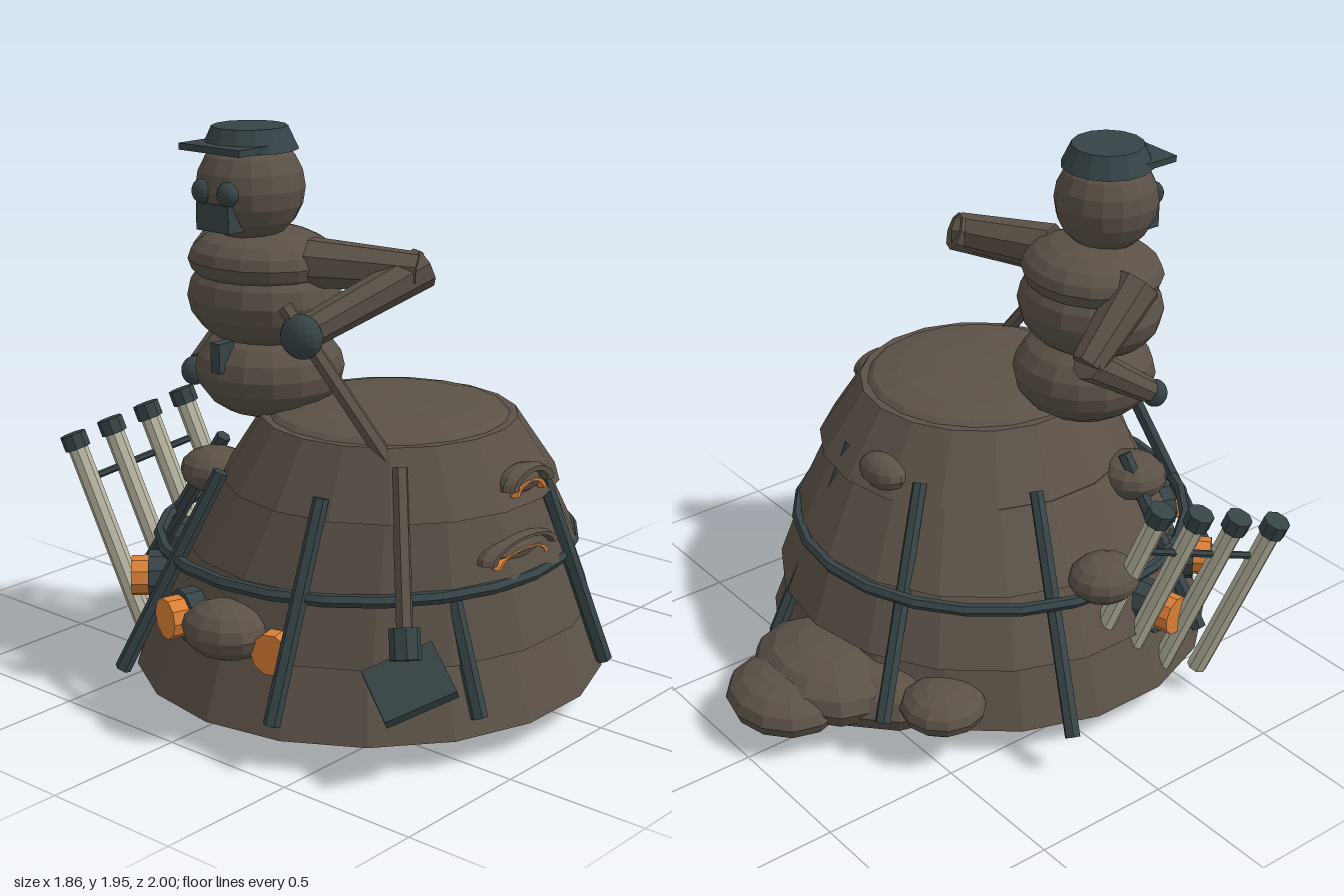
import * as THREE from 'three';

const V = (p) => new THREE.Vector3(...p);
const mat = (name, color) => {
  const m = new THREE.MeshStandardMaterial({ color });
  m.name = name;
  return m;
};

export function createModel() {
  const root = new THREE.Group();
  const brown = mat('earthBrown', 0x5b5147);
  const dark = mat('darkSlate', 0x364346);
  const orange = mat('glowOrange', 0xda7f36);
  const pale = mat('paleTube', 0xb9b5a1);

  // Faceted mesh
  const add = (name, geo, material, parent = root) => {
    const g = geo.index ? geo.toNonIndexed() : geo;
    g.computeVertexNormals();
    const m = new THREE.Mesh(g, material);
    m.name = name;
    parent.add(m);
    return m;
  };
  const blob = (name, c, r, material = brown, ws = 12, hs = 8, parent = root) => {
    const g = new THREE.SphereGeometry(1, ws, hs);
    g.scale(...r).translate(...c);
    return add(name, g, material, parent);
  };
  const box = (name, c, s, material, parent = root) =>
    add(name, new THREE.BoxGeometry(...s).translate(...c), material, parent);
  // Cylinder running from a to b
  const rod = (name, a, b, ra, rb, material, seg = 6, parent = root) => {
    const p = V(a), q = V(b), d = q.clone().sub(p);
    const g = new THREE.CylinderGeometry(rb, ra, d.length(), seg);
    g.applyQuaternion(new THREE.Quaternion().setFromUnitVectors(V([0, 1, 0]), d.normalize()));
    g.translate(...p.add(q).multiplyScalar(0.5).toArray());
    return add(name, g, material, parent);
  };

  // Leaning mound: bottom y, x, z, r then top y, x, z, r
  const tiers = [
    [0.10, 0.13, 0.16, 0.81, 0.33, 0.13, 0.16, 0.725],
    [0.325, 0.13, 0.135, 0.755, 0.555, 0.16, 0.15, 0.66],
    [0.55, 0.165, 0.145, 0.675, 0.785, 0.22, 0.18, 0.55],
    [0.78, 0.24, 0.18, 0.57, 1.0, 0.26, 0.21, 0.43],
  ];
  for (const [y0, x0, z0, r0, y1, x1, z1, r1] of tiers) {
    const g = new THREE.CylinderGeometry(r1, r0, y1 - y0, 18);
    const p = g.attributes.position;
    for (let i = 0; i < p.count; i++) {
      const t = p.getY(i) > 0 ? 1 : 0;
      p.setX(i, p.getX(i) + (t ? x1 : x0));
      p.setZ(i, p.getZ(i) + (t ? z1 : z0));
    }
    add('moundTier', g.translate(0, (y0 + y1) / 2, 0), brown);
  }
  blob('moundCap', [0.26, 0.99, 0.21], [0.415, 0.065, 0.415], brown, 18, 8);

  // Dirt lumps: centre, radii
  [
    [[0.02, 0.15, -0.4], [0.4, 0.15, 0.37]],
    [[0.06, 0.17, -0.62], [0.31, 0.13, 0.25]],
    [[0.06, 0.145, -0.8], [0.23, 0.1, 0.2]],
    [[-0.39, 0.2, -0.45], [0.15, 0.08, 0.15]],
    [[-0.57, 0.59, 0.11], [0.12, 0.08, 0.13]],
    [[-0.3, 0.745, 0.47], [0.13, 0.08, 0.12]],
    [[0.13, 0.84, -0.31], [0.11, 0.06, 0.07]],
    [[0.13, 0.39, 0.87], [0.16, 0.095, 0.13]],
  ].forEach(([c, r]) => blob('dirtLump', c, r));

  // Arched shelves with glowing undersides on the left flank
  [[0.78, 0.84, 0.15, 0.095], [0.79, 0.625, 0.2, 0.165]].forEach(([x, y, z, w]) => {
    const arch = (r, tube, dx, dy, m, name) => add(name, new THREE.TorusGeometry(r, tube, 6, 10, Math.PI)
      .rotateY(Math.PI / 2).scale(1.5, 0.055 / w, 1).translate(x + dx, y + dy, z), m);
    arch(w, 0.027, 0, 0, brown, 'shelf');
    arch(w * 0.75, 0.014, 0.008, -0.025, orange, 'shelfGlow');
    blob('shelfFill', [x - 0.02, y + 0.01, z], [0.05, 0.04, w * 0.95], brown, 10, 6);
  });

  // Leaning poles, foot to tip
  [
    [[-0.67, 0.28, 0.48], [-0.31, 0.85, 0.42]],
    [[-0.29, 0.16, 0.94], [-0.03, 0.85, 0.72]],
    [[0.4, 0.16, 0.95], [0.4, 0.85, 0.71]],
    [[0.86, 0.16, 0.48], [0.62, 0.85, 0.44]],
    [[0.89, 0.16, -0.17], [0.74, 0.82, 0.0]],
    [[0.38, 0.16, -0.63], [0.34, 0.85, -0.3]],
    [[-0.3, 0.16, -0.64], [-0.03, 0.85, -0.27]],
    [[-0.76, 0.16, -0.18], [-0.32, 0.85, 0.01]],
  ].forEach(([a, b]) => rod('pole', a, b, 0.028, 0.026, dark));

  // Band around the mound
  add('band', new THREE.TorusGeometry(0.71, 0.022, 6, 24).rotateX(Math.PI / 2)
    .translate(0.115, 0.545, 0.16), dark);

  // Lamps pointing outward: face centre x, y, z
  [[-0.1, 0.38, 0.92], [-0.47, 0.385, 0.72], [0.33, 0.355, 0.88], [-0.68, 0.385, 0.36]].forEach(([x, y, z], i) => {
    const d = V([x - 0.13, 0, z - 0.16]).normalize();
    const at = (t) => [x - d.x * t, y, z - d.z * t];
    rod('lampLight', at(0.12), at(0), 0.07, 0.07, orange, 10);
    if (i !== 2) rod('lampCollar', at(0.2), at(0.06), 0.088, 0.088, dark, 10);
  });

  // Rack of four pale tubes with dark caps
  const rack = new THREE.Group();
  rack.name = 'tubeRack';
  root.add(rack);
  for (let i = 0; i < 4; i++) {
    const top = [-0.735 - 0.052 * i, 0.9 - 0.038 * i, 0.21 + 0.13 * i];
    const at = (t) => [top[0] + 0.24 * t, top[1] - 0.69 * t, top[2] - 0.1 * t];
    rod('tube', at(1), at(0.04), 0.036, 0.036, pale, 8, rack);
    rod('tubeCap', at(0.075), at(0), 0.047, 0.047, dark, 8, rack);
  }
  rod('rackBar', [-0.68, 0.73, 0.16], [-0.84, 0.62, 0.6], 0.013, 0.013, dark, 6, rack);

  // Rounded figure on top
  const figure = new THREE.Group();
  figure.name = 'figure';
  root.add(figure);
  const part = (n, c, r, m = brown) => blob(n, c, r, m, 16, 10, figure);
  part('hips', [-0.12, 1.125, 0.385], [0.255, 0.17, 0.25]);
  part('belly', [-0.12, 1.375, 0.405], [0.275, 0.18, 0.24]);
  part('chest', [-0.12, 1.5, 0.41], [0.265, 0.115, 0.235]);
  part('head', [-0.12, 1.745, 0.465], [0.18, 0.18, 0.18]);
  box('buckle', [-0.12, 1.2, 0.61], [0.04, 0.1, 0.07], dark, figure);
  for (const s of [-1, 1]) part('eye', [-0.12 + s * 0.057, 1.745, 0.63], [0.04, 0.04, 0.03], dark);
  box('beard', [-0.12, 1.665, 0.61], [0.145, 0.09, 0.07], dark, figure);
  rod('hat', [-0.12, 1.87, 0.465], [-0.12, 1.945, 0.465], 0.16, 0.125, dark, 14, figure);
  box('hatBrim', [-0.12, 1.885, 0.57], [0.27, 0.022, 0.17], dark, figure);

  // Arms
  rod('leftUpperArm', [0.08, 1.51, 0.4], [0.42, 1.5, 0.25], 0.085, 0.065, brown, 8, figure);
  rod('leftForearm', [0.41, 1.51, 0.22], [0.25, 1.34, 0.6], 0.068, 0.055, brown, 8, figure);
  part('leftHand', [0.25, 1.33, 0.63], [0.078, 0.072, 0.055], dark);
  rod('rightUpperArm', [-0.34, 1.52, 0.42], [-0.37, 1.3, 0.18], 0.085, 0.06, brown, 8, figure);
  rod('rightForearm', [-0.37, 1.31, 0.18], [-0.36, 1.11, 0.47], 0.06, 0.045, brown, 8, figure);
  part('rightHand', [-0.365, 1.09, 0.5], [0.045, 0.05, 0.045], dark);
  rod('staff', [0.19, 1.42, 0.64], [0.53, 0.95, 0.535], 0.027, 0.027, brown, 6, figure);

  // Shovel leaning on the mound
  rod('shovelHandle', [0.57, 0.94, 0.53], [0.735, 0.44, 0.7], 0.028, 0.028, brown);
  rod('shovelSocket', [0.72, 0.49, 0.685], [0.75, 0.4, 0.715], 0.05, 0.05, dark, 8);
  const n = V([0.15, 0.83, 0.5]).normalize();
  const u = V([0.88, -0.44, 0.47]).normalize();
  const blade = new THREE.BoxGeometry(0.22, 0.03, 0.24);
  blade.applyMatrix4(new THREE.Matrix4().makeBasis(u, n, u.clone().cross(n)));
  add('shovelBlade', blade.translate(0.77, 0.33, 0.72), dark);

  return root;
}
